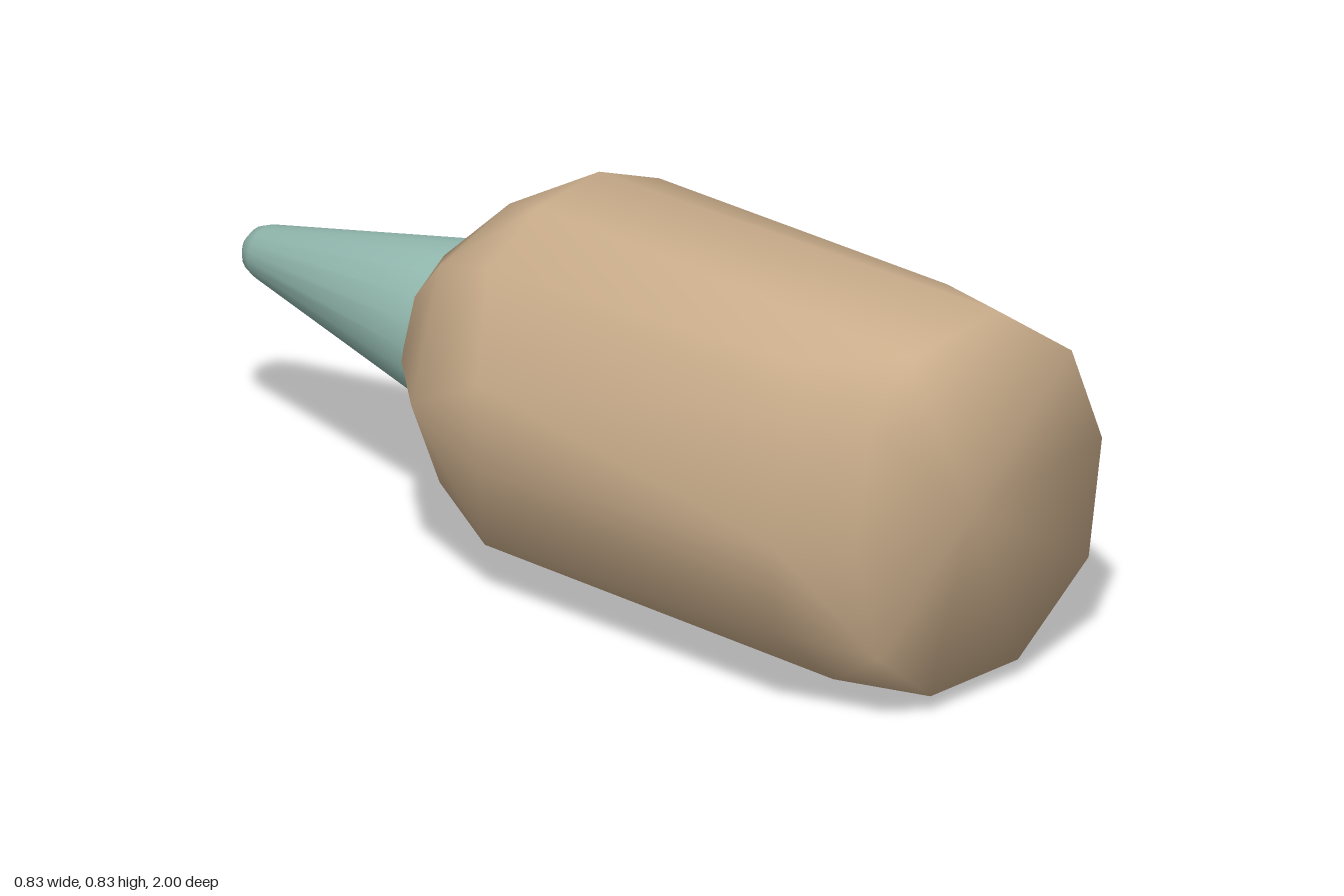
import * as THREE from 'three';
import { ConvexGeometry } from 'three/addons/geometries/ConvexGeometry.js';
import { mergeVertices } from 'three/addons/utils/BufferGeometryUtils.js';

const CENTRE_Y = 0.42;

// One rough, hand-cut ring of [x, y, z] corners
function ring(corners) {
  return corners.map(([x, y, z]) => new THREE.Vector3(x, y, z));
}

// Convex skin over the corners, with normals shared across the facets
function smoothHull(points) {
  const hull = new ConvexGeometry(points);
  hull.deleteAttribute('normal');
  const merged = mergeVertices(hull, 1e-4);
  merged.computeVertexNormals();
  return merged;
}

export function createModel() {
  const tan = new THREE.MeshStandardMaterial({ color: 0xcaad8b });
  tan.name = 'tan';
  const teal = new THREE.MeshStandardMaterial({ color: 0x8fb5ab });
  teal.name = 'teal';

  const model = new THREE.Group();
  model.name = 'model';

  // Flat front end, chamfered on one side
  const front = ring([
    [-0.16, 0.8, 0.98], [0.1, 0.82, 0.98], [0.31, 0.67, 0.985], [0.4, 0.45, 0.985],
    [0.36, 0.2, 0.985], [0.15, 0.04, 0.985], [-0.11, 0.04, 0.985], [-0.27, 0.17, 0.99],
    [-0.34, 0.42, 0.99], [-0.29, 0.69, 0.985], [0, 0.42, 1],
  ]);

  // Corners near the front of the barrel
  const barrelFront = ring([
    [-0.05, 0.835, 0.7], [0.16, 0.803, 0.78], [0.33, 0.67, 0.8], [0.412, 0.47, 0.75],
    [0.388, 0.26, 0.8], [0.25, 0.083, 0.8], [0.015, 0, 0.7], [-0.2, 0.052, 0.8],
    [-0.36, 0.2, 0.78], [-0.415, 0.42, 0.83], [-0.33, 0.672, 0.8], [-0.25, 0.75, 0.75],
  ]);

  // Corners where the barrel starts to round off
  const barrelBack = ring([
    [0.05, 0.835, -0.08], [0.25, 0.752, -0.1], [0.34, 0.66, -0.1], [0.4, 0.46, -0.16],
    [0.36, 0.21, -0.1], [0.21, 0.055, -0.05], [0.08, 0.01, 0], [-0.11, 0.015, 0],
    [-0.29, 0.12, -0.08], [-0.4, 0.34, 0], [-0.4, 0.53, 0], [-0.28, 0.725, -0.08],
    [-0.13, 0.813, -0.08],
  ]);

  // Rounded shoulder
  const shoulder = ring([
    [0.02, 0.71, -0.3], [0.22, 0.64, -0.3], [0.3, 0.44, -0.28], [0.24, 0.21, -0.28],
    [0.03, 0.05, -0.23], [-0.22, 0.18, -0.27], [-0.38, 0.42, -0.2], [-0.28, 0.45, -0.32],
    [-0.21, 0.65, -0.28],
  ]);

  // Small back end that meets the spike
  const back = [];
  for (let i = 0; i < 10; i++) {
    const a = (i / 10) * Math.PI * 2;
    back.push(new THREE.Vector3(0.175 * Math.cos(a), CENTRE_Y + 0.175 * Math.sin(a), -0.412));
  }

  const body = new THREE.Mesh(
    smoothHull([...front, ...barrelFront, ...barrelBack, ...shoulder, ...back]), tan);
  body.name = 'body';
  model.add(body);

  // Tapered spike with a blunt tip, closed at its base
  const profile = [
    [0, 0], [0.177, 0], [0.058, 0.54], [0.048, 0.565], [0.026, 0.585], [0, 0.588],
  ].map(([r, h]) => new THREE.Vector2(r, h));
  const spikeGeometry = new THREE.LatheGeometry(profile, 20);
  spikeGeometry.rotateX(-Math.PI / 2);
  const spike = new THREE.Mesh(spikeGeometry, teal);
  spike.name = 'spike';
  spike.position.set(0, CENTRE_Y, -0.412);
  model.add(spike);

  return model;
}
